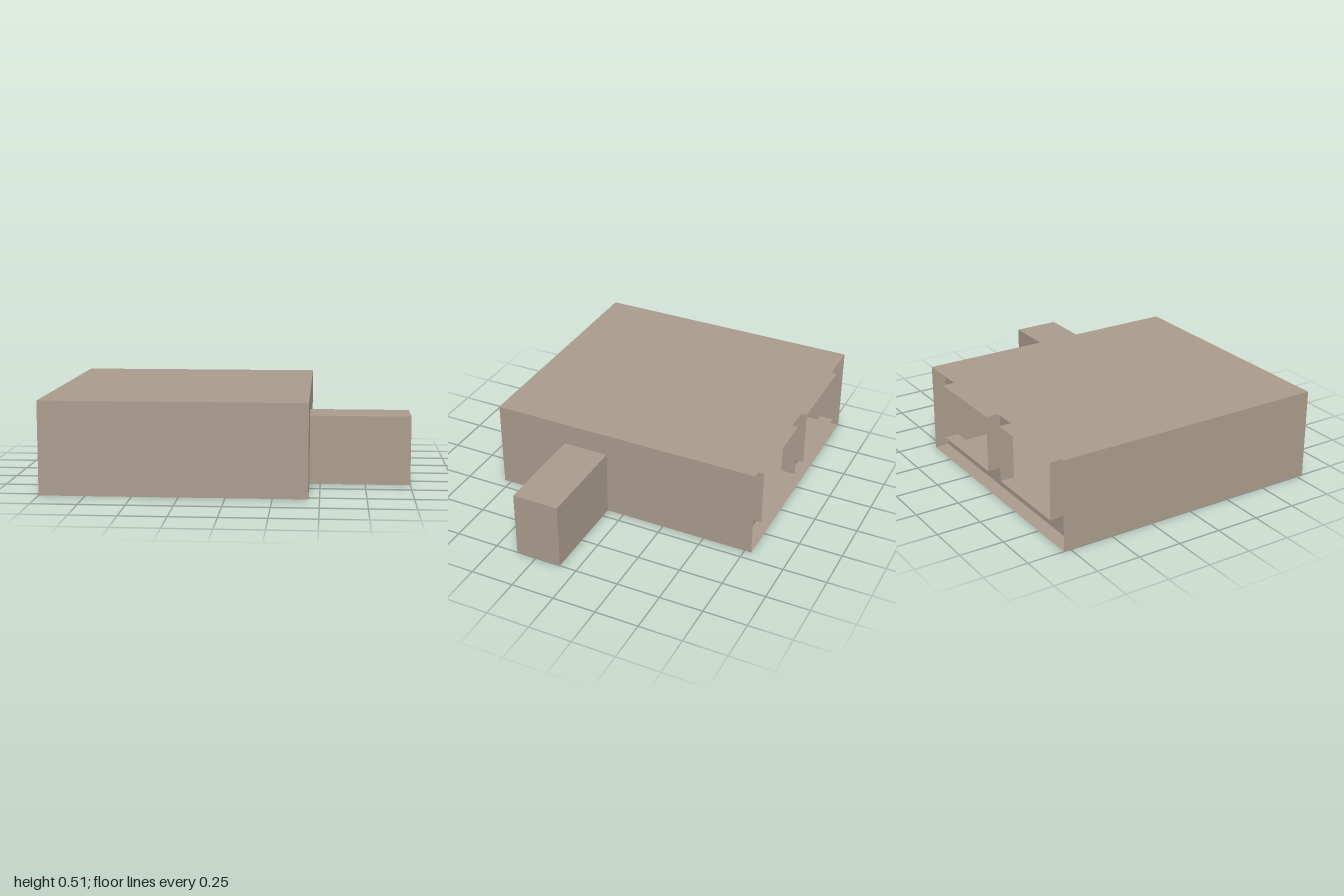
import * as THREE from 'three';

const X0 = -1, X1 = 0.44, H = 0.512, Z = 0.79; // main block extents
const PANEL_Z = -0.707;                        // recessed back panel

// Box between two corners, keeping only the first few sides (+x, -x, +y, -y, +z, -z)
function openBox(min, max, sides = 6) {
  const size = max.map((v, i) => v - min[i]);
  const geo = new THREE.BoxGeometry(...size);
  geo.setIndex(Array.from(geo.index.array.slice(0, sides * 6)));
  geo.clearGroups();
  return geo.translate(...max.map((v, i) => (v + min[i]) / 2));
}

function rectangle(path, x0, y0, x1, y1) {
  path.moveTo(x0, y0);
  path.lineTo(x1, y0);
  path.lineTo(x1, y1);
  path.lineTo(x0, y1);
  path.closePath();
  return path;
}

export function createModel() {
  const group = new THREE.Group();
  const taupe = new THREE.MeshStandardMaterial({ color: 0xa99b8c, side: THREE.DoubleSide });
  taupe.name = 'taupe';

  const add = (name, geometry) => {
    const mesh = new THREE.Mesh(geometry, taupe);
    mesh.name = name;
    group.add(mesh);
  };

  // Hollow main block, open at the back
  add('mainShell', openBox([X0, 0, -Z], [X1, H, Z], 5));

  // Solid arm on the left side
  add('sideArm', openBox([X1, 0, 0.1], [1, 0.385, 0.367]));

  // Recessed back panel with two openings, each lined by a thin projecting sleeve
  const panel = rectangle(new THREE.Shape(), X0, 0, X1, H);
  const y0 = 0.118, y1 = 0.444;
  for (const [x0, x1, name] of [[-0.21, 0.307, 'leftSleeve'], [-0.868, -0.35, 'rightSleeve']]) {
    panel.holes.push(rectangle(new THREE.Path(), x0, y0, x1, y1));
    add(name, openBox([x0, y0, -Z], [x1, y1, PANEL_Z], 4));
  }
  // Turn the panel to face backwards
  const panelGeo = new THREE.ShapeGeometry(panel);
  panelGeo.translate(-(X0 + X1) / 2, 0, 0).scale(-1, 1, 1).rotateY(Math.PI);
  panelGeo.translate((X0 + X1) / 2, 0, PANEL_Z);
  panelGeo.computeVertexNormals();
  add('backPanel', panelGeo);

  return group;
}
